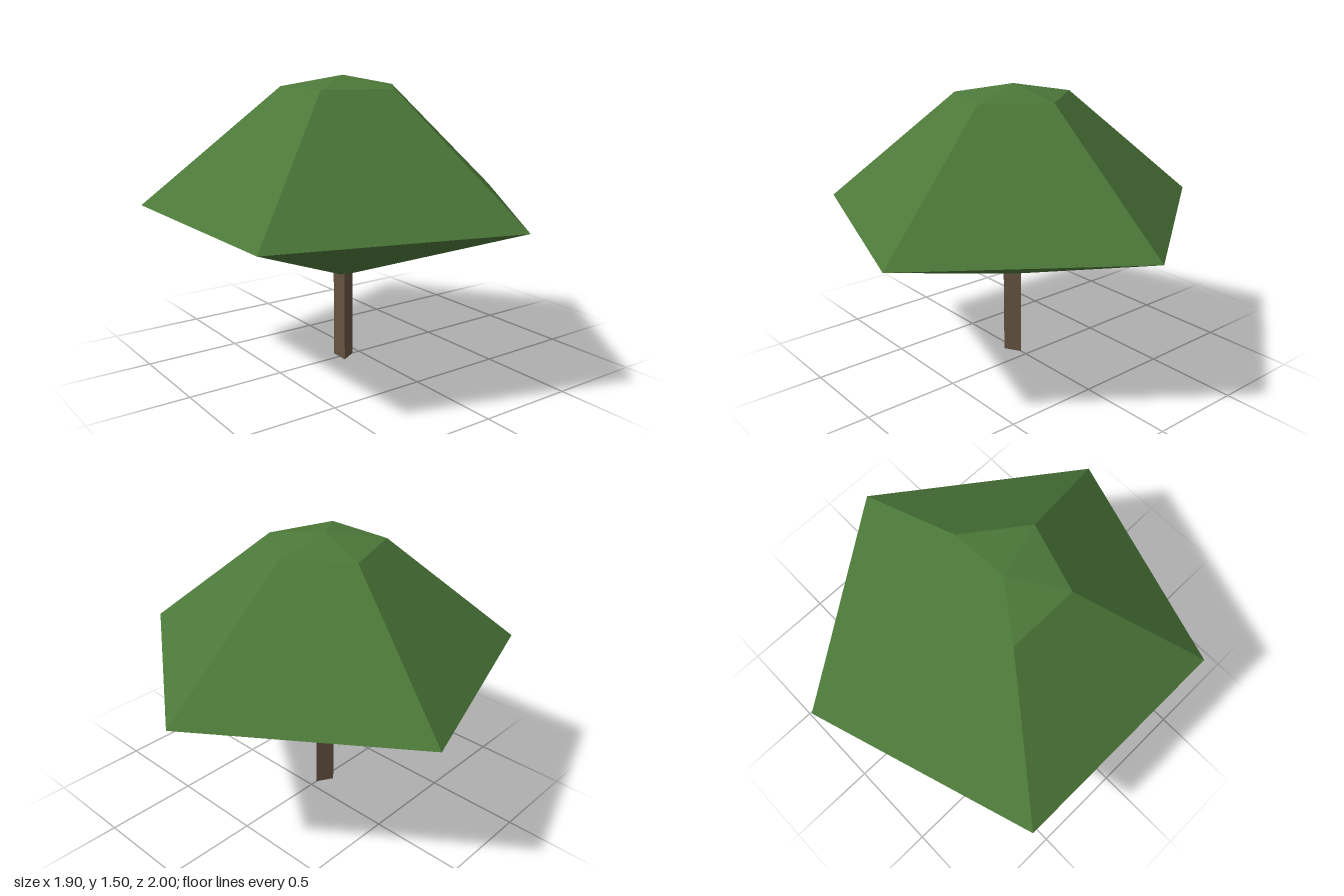
import * as THREE from 'three';

const CENTRE_X = -0.1; // shared axis of trunk and crown

// Split the faces so that each one is flat shaded
function faceted(geometry) {
  const flat = geometry.toNonIndexed();
  flat.computeVertexNormals();
  return flat;
}

function addPart(group, name, geometry, material, y = 0) {
  const mesh = new THREE.Mesh(faceted(geometry), material);
  mesh.name = name;
  mesh.position.set(CENTRE_X, y, 0);
  group.add(mesh);
}

export function createModel() {
  const leafGreen = new THREE.MeshStandardMaterial({ name: 'leafGreen', color: 0x4c7839, flatShading: true });
  const barkBrown = new THREE.MeshStandardMaterial({ name: 'barkBrown', color: 0x64523f, flatShading: true });

  const tree = new THREE.Group();
  tree.name = 'tree';

  // Three-sided trunk with one edge towards +x, reaching into the crown
  const trunkHeight = 0.56;
  const trunk = new THREE.CylinderGeometry(0.058, 0.058, trunkHeight, 3, 1, false, Math.PI / 2);
  addPart(tree, 'trunk', trunk, barkBrown, trunkHeight / 2);

  // Five-sided crown: lower point, wide rim, shoulder, shallow tip
  const profile = [[0, 0.453], [1.05, 0.83], [0.314, 1.443], [0, 1.5]]
    .map(([r, y]) => new THREE.Vector2(r, y));
  addPart(tree, 'crown', new THREE.LatheGeometry(profile, 5, Math.PI / 2), leafGreen);

  return tree;
}
